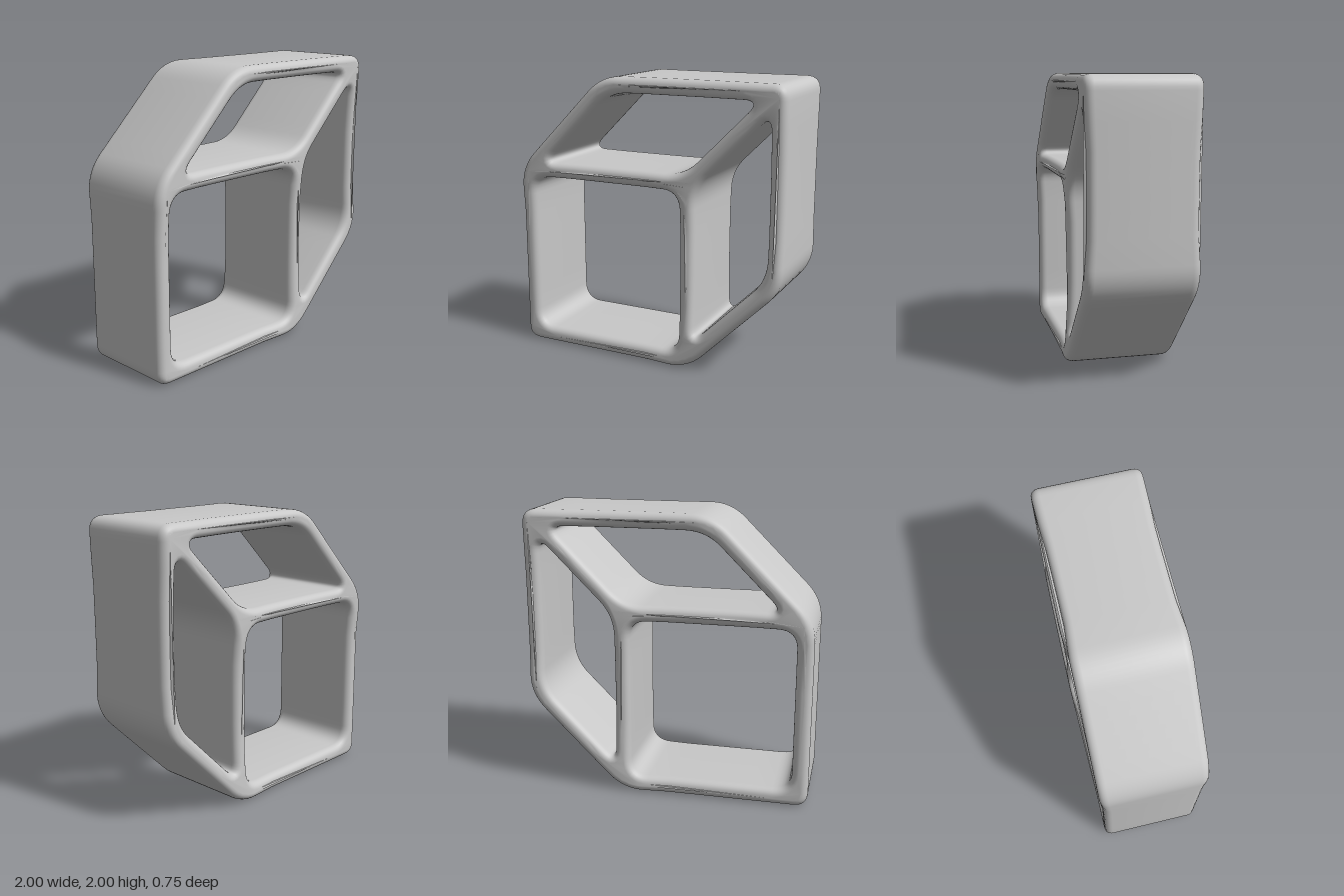
import * as THREE from 'three';
import { toCreasedNormals } from 'three/addons/utils/BufferGeometryUtils.js';

// Closed outline with eased corners; corners are [x, y, setback].
// Straight runs are subdivided so the depth can vary along them.
function roundedOutline(corners) {
  const pts = [];
  const n = corners.length;
  const at = (i) => new THREE.Vector2(corners[(i + n) % n][0], corners[(i + n) % n][1]);
  const toward = (a, b, d) => b.clone().sub(a).setLength(d).add(a);
  for (let i = 0; i < n; i++) {
    const p = at(i), next = at(i + 1);
    const start = toward(p, at(i - 1), corners[i][2]);
    const end = toward(p, next, corners[i][2]);
    pts.push(...new THREE.QuadraticBezierCurve(start, p, end).getPoints(8));
    const nextStart = toward(next, p, corners[(i + 1) % n][2]);
    for (let k = 1; k < 6; k++) pts.push(end.clone().lerp(nextStart, k / 6));
  }
  return pts;
}

// Reflection across the frame's diagonal axis
const mirror = (corners) => corners.map(([x, y, r]) => [y - 1, x + 1, r]).reverse();

export function createModel() {
  const group = new THREE.Group();
  const grey = new THREE.MeshStandardMaterial({ color: 0xc8c8c8 });
  grey.name = 'light grey';

  // Six-sided outer contour
  const shape = new THREE.Shape(roundedOutline([
    [-1, 0, 0.1], [0.325, 0, 0.15], [1, 0.675, 0.15],
    [1, 2, 0.1], [-0.325, 2, 0.15], [-1, 1.325, 0.15],
  ]));

  // Square opening and two slanted openings
  const square = [[-0.885, 0.115, 0.13], [0.26, 0.115, 0.13], [0.26, 1.26, 0.13], [-0.885, 1.26, 0.13]];
  const slanted = [[-0.79, 1.37, 0.11], [0.29, 1.37, 0.14], [0.81, 1.89, 0.11], [-0.27, 1.89, 0.14]];
  for (const hole of [square, slanted, mirror(slanted)]) {
    shape.holes.push(new THREE.Path(roundedOutline(hole).reverse()));
  }

  // Extrude with rounded rims
  const half = 0.355, rim = 0.055;
  let geometry = new THREE.ExtrudeGeometry(shape, {
    depth: 2 * (half - rim), bevelEnabled: true, bevelThickness: rim,
    bevelSize: 0.049, bevelOffset: -0.049, bevelSegments: 6, steps: 1,
  });
  geometry.translate(0, 0, -(half - rim));

  // The diagonal bars are slightly deeper than the straight ones
  const diagonals = [
    [[-0.95, 1.32], [-0.31, 1.95]], [[0.31, 0.05], [0.95, 0.69]], [[0.31, 1.31], [0.95, 1.95]],
  ].map(([a, b]) => new THREE.Line3(new THREE.Vector3(...a, 0), new THREE.Vector3(...b, 0)));
  const pos = geometry.attributes.position;
  const p = new THREE.Vector3(), q = new THREE.Vector3();
  for (let i = 0; i < pos.count; i++) {
    p.set(pos.getX(i), pos.getY(i), 0);
    const d = Math.min(...diagonals.map((l) => l.closestPointToPoint(p, true, q).distanceTo(p)));
    const bulge = 0.05 * (1 - THREE.MathUtils.smoothstep(d, 0.06, 0.35));
    pos.setZ(i, pos.getZ(i) * (1 + bulge));
  }
  geometry = toCreasedNormals(geometry, 0.7);

  const frame = new THREE.Mesh(geometry, grey);
  frame.name = 'cubeFrame';
  group.add(frame);
  return group;
}
